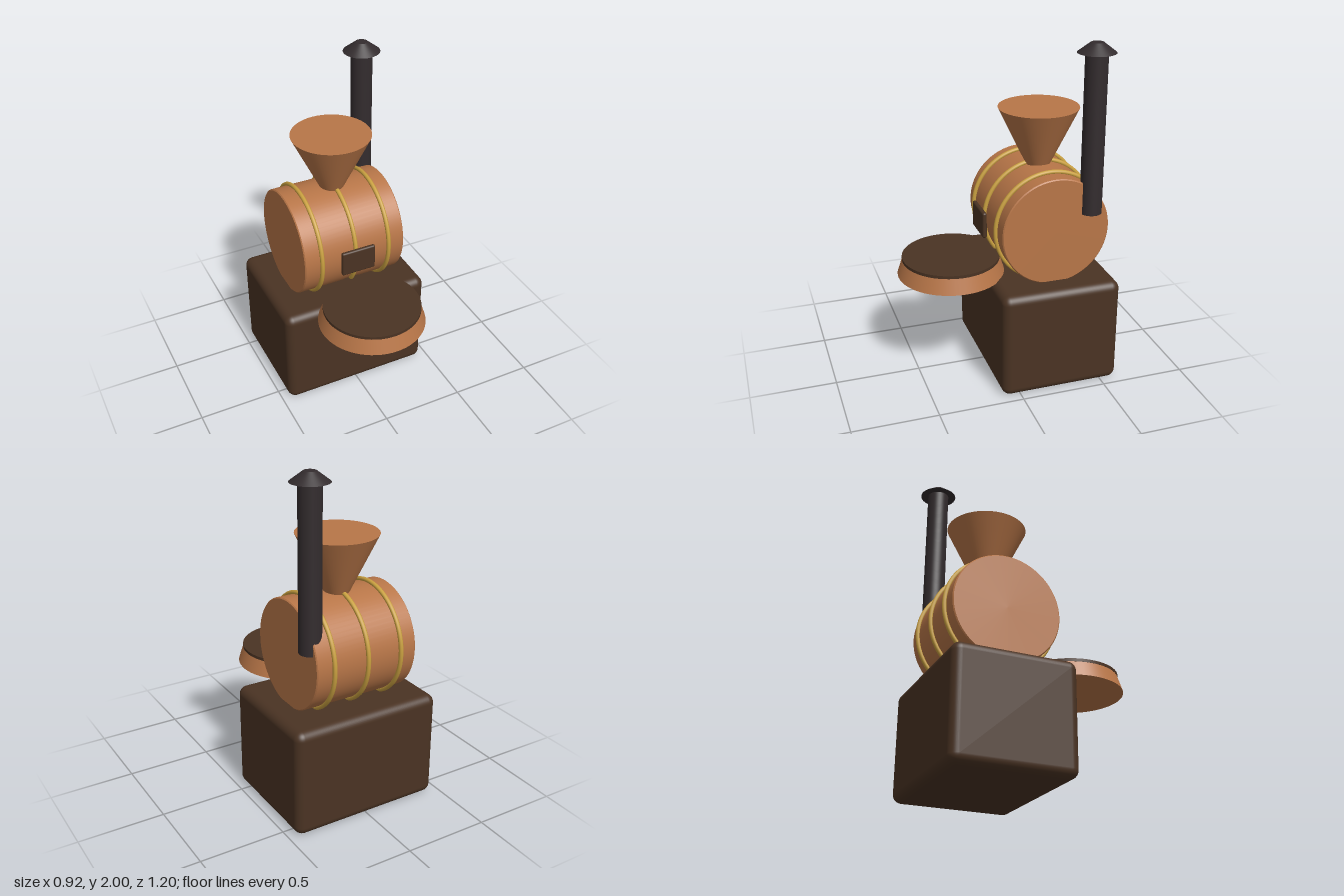
import * as THREE from 'three';
import { RoundedBoxGeometry } from 'three/addons/geometries/RoundedBoxGeometry.js';

export function createModel() {
  const model = new THREE.Group();
  model.name = 'drumRoaster';

  const paint = (name, color) => {
    const m = new THREE.MeshStandardMaterial({ color });
    m.name = name;
    return m;
  };
  const copper = paint('copper', 0xb87648);
  const brown = paint('darkBrown', 0x4a3323);
  const brass = paint('brass', 0xc9a040);
  const iron = paint('blackIron', 0x332c2e);

  const add = (name, geometry, material, x, y, z) => {
    const mesh = new THREE.Mesh(geometry, material);
    mesh.name = name;
    mesh.position.set(x, y, z);
    model.add(mesh);
    return mesh;
  };
  // Upright round part given by its lower and upper heights
  const round = (name, rTop, rBottom, y0, y1, material, x, z) =>
    add(name, new THREE.CylinderGeometry(rTop, rBottom, y1 - y0, 64), material, x, (y0 + y1) / 2, z);

  const drumY = 0.94, drumZ = -0.247;

  // Cabinet
  add('base', new RoundedBoxGeometry(0.916, 0.638, 0.706, 5, 0.05), brown, 0, 0.319, drumZ);

  // Drum lying along x, with a slightly eased rim
  const r = 0.317, half = 0.317, ease = 0.006;
  const endCap = [[0, half], [r - ease, half]];
  const side = [[r - ease, half], [r, half - ease]];
  const wall = [[r, half - ease], [r, -half + ease]];
  const mirror = (p) => p.map(([a, b]) => [a, -b]).reverse();
  const drum = new THREE.Group();
  drum.name = 'drum';
  for (const [name, profile] of [['drumEnd', endCap], ['drumRim', side], ['drumWall', wall],
    ['drumRim', mirror(side)], ['drumEnd', mirror(endCap)]]) {
    const points = profile.map(([a, b]) => new THREE.Vector2(a, b)).reverse();
    const mesh = new THREE.Mesh(new THREE.LatheGeometry(points, 72), copper);
    mesh.name = name;
    drum.add(mesh);
  }
  drum.rotation.z = Math.PI / 2;
  drum.position.set(0, drumY, drumZ);
  model.add(drum);

  // Brass bands around the drum
  for (const x of [-0.213, 0, 0.213]) {
    add('band', new THREE.TorusGeometry(0.325, 0.013, 12, 72), brass, x, drumY, drumZ).rotation.y = Math.PI / 2;
  }

  // Front door
  add('door', new RoundedBoxGeometry(0.21, 0.155, 0.026, 4, 0.011), brown, 0, 0.938, 0.106);

  // Hopper
  round('hopper', 0.233, 0.053, 1.21, 1.585, copper, 0, drumZ);

  // Cooling tray with its dark filling
  round('coolingTray', 0.282, 0.313, 0.632, 0.728, copper, 0, 0.284);
  round('trayFilling', 0.285, 0.285, 0.722, 0.74, brown, 0, 0.284);

  // Chimney and rain cap
  round('chimney', 0.063, 0.063, 1.03, 1.95, iron, 0.297, -0.458);
  round('chimneyCap', 0.035, 0.107, 1.945, 2, iron, 0.297, -0.458);

  return model;
}
